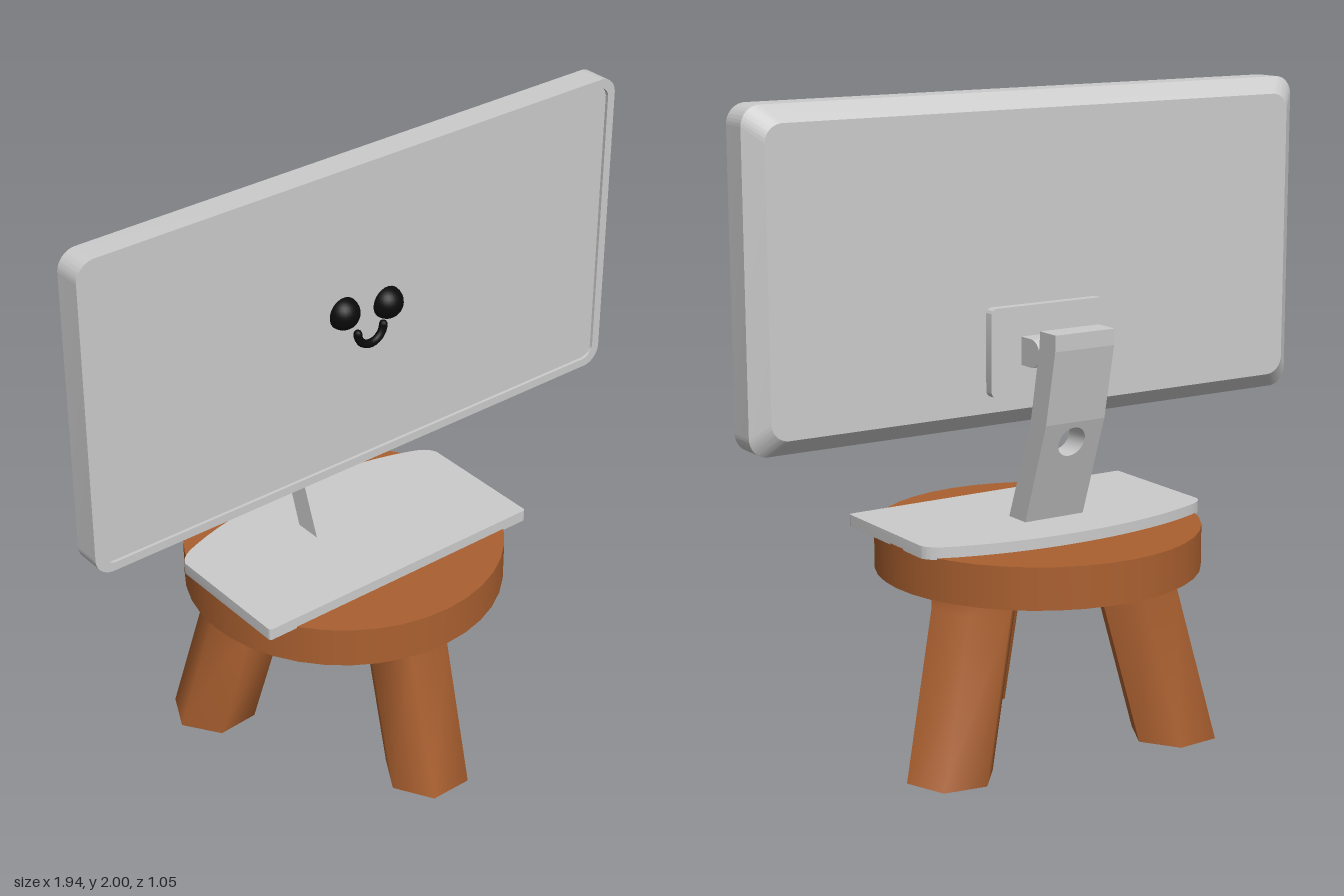
import * as THREE from 'three';
import { toCreasedNormals } from 'three/addons/utils/BufferGeometryUtils.js';

const grey = new THREE.MeshStandardMaterial({ color: 0xcccccc });
const wood = new THREE.MeshStandardMaterial({ color: 0xaa6030 });
const black = new THREE.MeshStandardMaterial({ color: 0x0a0a0a });

function roundedRect(w, h, r, Type = THREE.Shape) {
  const s = new Type(), a = w / 2, b = h / 2;
  s.moveTo(-a + r, -b);
  s.lineTo(a - r, -b);
  s.absarc(a - r, -b + r, r, -Math.PI / 2, 0);
  s.lineTo(a, b - r);
  s.absarc(a - r, b - r, r, 0, Math.PI / 2);
  s.lineTo(-a + r, b);
  s.absarc(-a + r, b - r, r, Math.PI / 2, Math.PI);
  s.lineTo(-a, -b + r);
  s.absarc(-a + r, -b + r, r, Math.PI, Math.PI * 1.5);
  return s;
}

const extrude = (shape, depth) =>
  new THREE.ExtrudeGeometry(shape, { depth, bevelEnabled: false, curveSegments: 10 });

// Moves every vertex by a rule
function warp(geo, rule) {
  const p = geo.attributes.position, v = new THREE.Vector3();
  for (let i = 0; i < p.count; i++) {
    rule(v.fromBufferAttribute(p, i));
    p.setXYZ(i, v.x, v.y, v.z);
  }
  geo.computeVertexNormals();
  return geo;
}

export function createModel() {
  const model = new THREE.Group();
  model.name = 'monitorOnStool';

  function add(parent, name, geo, mat, x = 0, y = 0, z = 0) {
    const mesh = new THREE.Mesh(geo, mat);
    mesh.name = name;
    mesh.position.set(x, y, z);
    parent.add(mesh);
    return mesh;
  }
  function group(name) {
    const g = new THREE.Group();
    g.name = name;
    model.add(g);
    return g;
  }
  const crease = (geo) => toCreasedNormals(geo, 0.5);

  // Monitor: body, raised bezel around the screen, chamfered back
  const monitor = group('monitor');
  const outline = roundedRect(1.94, 1, 0.06);
  add(monitor, 'screenBody', crease(extrude(outline, 0.08)), grey, 0, 1.5, -0.01);
  const frame = roundedRect(1.94, 1, 0.06);
  frame.holes.push(roundedRect(1.885, 0.945, 0.04, THREE.Path));
  add(monitor, 'bezel', crease(extrude(frame, 0.01)), grey, 0, 1.5, 0.07);
  const back = warp(extrude(outline, 0.045), (v) => {
    if (v.z < 0.01) {
      v.x *= 0.92 / 0.97;
      v.y *= 0.45 / 0.5;
    }
  });
  add(monitor, 'backCover', crease(back), grey, 0, 1.5, -0.055);

  // Face: two eyes and a smile
  const face = group('face');
  const eye = new THREE.SphereGeometry(0.051, 24, 16);
  add(face, 'eyeRight', eye, black, -0.073, 1.537, 0.068);
  add(face, 'eyeLeft', eye, black, 0.09, 1.518, 0.068);
  const smile = add(face, 'smile', new THREE.TorusGeometry(0.048, 0.013, 10, 24, Math.PI), black, 0.014, 1.462, 0.088);
  smile.rotation.z = Math.PI;
  for (const s of [-1, 1]) {
    add(face, 'smileEnd', new THREE.SphereGeometry(0.013, 10, 8), black, 0.014 + s * 0.048, 1.462, 0.088);
  }

  // Mounting plate and the round-ended connector to the arm
  const stand = group('stand');
  add(stand, 'mountPlate', crease(extrude(roundedRect(0.41, 0.27, 0.02), 0.035)), grey, 0, 1.235, -0.085);
  add(stand, 'connector', new THREE.BoxGeometry(0.2, 0.086, 0.08), grey, 0, 1.235, -0.1);
  const end = new THREE.CylinderGeometry(0.043, 0.043, 0.2, 24).rotateZ(Math.PI / 2);
  add(stand, 'connectorEnd', end, grey, 0, 1.235, -0.14);

  // Bent arm: sections between knots of [y, back z, front z]
  const knots = [[0.69, -0.102, -0.012], [1.03, -0.222, -0.14], [1.26, -0.27, -0.186], [1.31, -0.272, -0.19]];
  for (let i = 0; i < 3; i++) {
    const [y0, b0, f0] = knots[i], [y1, b1, f1] = knots[i + 1];
    const s = new THREE.Shape();
    s.moveTo(-0.108, y0).lineTo(0.102, y0).lineTo(0.102, y1).lineTo(-0.108, y1).closePath();
    if (i === 0) s.holes.push(new THREE.Path().absarc(-0.005, 0.965, 0.047, 0, Math.PI * 2));
    const geo = warp(extrude(s, 1), (v) => {
      const t = (v.y - y0) / (y1 - y0);
      const zb = THREE.MathUtils.lerp(b0, b1, t), zf = THREE.MathUtils.lerp(f0, f1, t);
      v.z = THREE.MathUtils.lerp(zb, zf, v.z);
    });
    add(stand, 'armSection', crease(geo), grey);
  }

  // Base plate with a bowed rear edge, drawn in x and z
  const base = new THREE.Shape();
  base.moveTo(-0.508, -0.16);
  base.quadraticCurveTo(-0.5, -0.19, -0.45, -0.212);
  base.quadraticCurveTo(-0.25, -0.29, 0, -0.29);
  base.quadraticCurveTo(0.25, -0.29, 0.45, -0.212);
  base.quadraticCurveTo(0.495, -0.19, 0.5, -0.16);
  base.lineTo(0.5, 0.26);
  base.quadraticCurveTo(0.5, 0.27, 0.49, 0.27);
  base.lineTo(-0.498, 0.27);
  base.quadraticCurveTo(-0.508, 0.27, -0.508, 0.26);
  add(stand, 'basePlate', crease(extrude(base, 0.038).rotateX(Math.PI / 2)), grey, 0, 0.711, 0);

  // Stool seat
  const stool = group('stool');
  add(stool, 'seat', new THREE.CylinderGeometry(0.503, 0.503, 0.13, 40), wood, 0, 0.613, -0.022);

  // Splayed six-sided legs: foot x, foot z, top x, top z, turn of the corners in degrees
  const legs = [
    ['frontLeg', -0.005, 0.405, -0.005, 0.285, 0],
    ['leftLeg', 0.435, -0.21, 0.292, -0.12, 9],
    ['rightLeg', -0.345, -0.27, -0.25, -0.185, -4],
  ];
  for (const [name, fx, fz, tx, tz, turn] of legs) {
    const geo = new THREE.CylinderGeometry(0.138, 0.138, 1, 6, 2);
    geo.rotateY(Math.PI / 2 - THREE.MathUtils.degToRad(turn));
    warp(geo, (v) => {
      const foot = v.y < -0.1;
      v.x += foot ? fx : tx;
      v.z += foot ? fz : tz;
      v.y = foot ? 0 : v.y > 0.1 ? 0.56 : 0.49;
    });
    add(stool, name, geo, wood);
  }
  return model;
}
